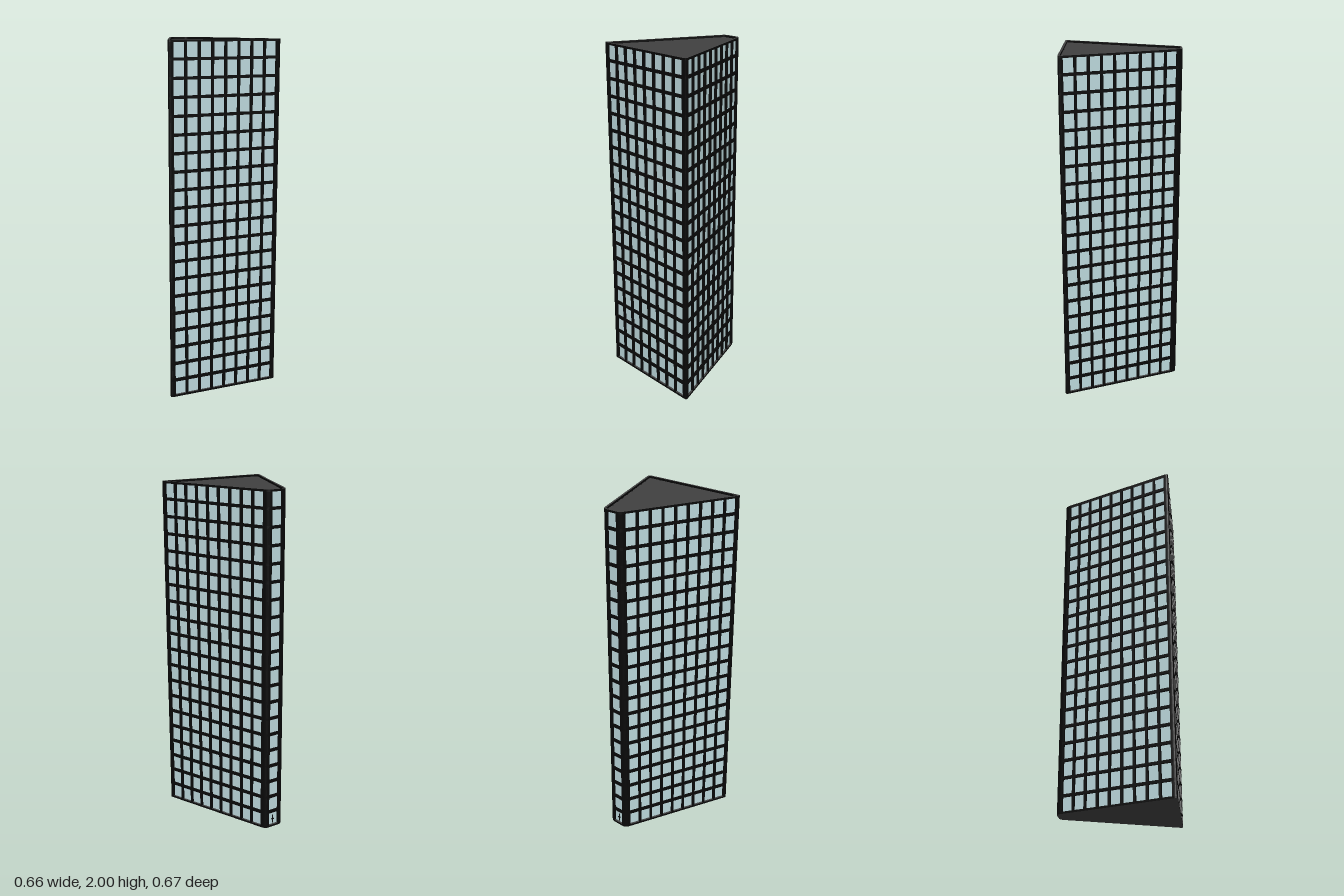
import * as THREE from 'three';

const HEIGHT = 2, FLOORS = 20, BAR = 0.016, EDGE = 0.012, RECESS = 0.012;
const V = (x, y) => new THREE.Vector2(x, y);

// Plan corners, counter-clockwise, in (x, -z)
const OUTER = [V(-0.337, -0.334), V(0.337, -0.334), V(0.058, 0.338), V(-0.058, 0.338)];
const INNER = [V(-0.319, -0.322), V(0.319, -0.322), V(0.05, 0.326), V(-0.05, 0.326)];

const toward = (a, b, d) => b.clone().sub(a).setLength(d).add(a);

// Points of the rounded corner i
function roundedCorner(pts, i, setback) {
  const p = pts[i], prev = pts[(i + 3) % 4], next = pts[(i + 1) % 4];
  return new THREE.QuadraticBezierCurve(toward(p, prev, setback), p, toward(p, next, setback)).getPoints(6);
}

function outline(pts, front, back) {
  return pts.flatMap((_, i) => roundedCorner(pts, i, i < 2 ? front : back));
}

function prism(points, y, height, hole) {
  const shape = new THREE.Shape(points);
  if (hole) shape.holes.push(new THREE.Path(hole));
  const geo = new THREE.ExtrudeGeometry(shape, { depth: height, bevelEnabled: false });
  return geo.rotateX(-Math.PI / 2).translate(0, y, 0);
}

export function createModel() {
  const group = new THREE.Group();
  const frame = new THREE.MeshStandardMaterial({ color: 0x080808 });
  const roof = new THREE.MeshStandardMaterial({ color: 0x404040 });
  const glass = new THREE.MeshStandardMaterial({ color: 0xbcd8dc });
  const add = (name, geo, material) => {
    const mesh = new THREE.Mesh(geo, material);
    mesh.name = name;
    group.add(mesh);
    return mesh;
  };

  const outer = outline(OUTER, 0.02, 0.025);
  const inner = outline(INNER, 0.006, 0.018);

  // Glass core, its top being the sunken roof
  add('glassCore', prism(inner, 0.002, HEIGHT - EDGE - 0.002), [roof, glass]);

  // Base plate, floor bands and parapet
  add('basePlate', prism(outer, 0, EDGE), [roof, frame]);
  for (let i = 1; i < FLOORS; i++) {
    add('floorBand', prism(outer, i * HEIGHT / FLOORS - BAR / 2, BAR, inner), frame);
  }
  add('parapet', prism(outer, HEIGHT - EDGE, EDGE, inner), [roof, frame]);

  // Each facade: window columns and the solid margin at its start and end
  const facades = [
    { name: 'front', columns: 8, start: 0.032, end: 0.032 },
    { name: 'left', columns: 9, start: 0.031, end: 0.035 },
    { name: 'back', columns: 1, start: 0.026, end: 0.026 },
    { name: 'right', columns: 9, start: 0.035, end: 0.031 },
  ];
  const mullionWidth = 0.014;
  facades.forEach(({ name, columns, start, end }, i) => {
    const a = OUTER[i], b = OUTER[(i + 1) % 4];
    const along = b.clone().sub(a).normalize();
    const inward = V(-along.y, along.x);
    const length = a.distanceTo(b);
    const pitch = (length - start - end + mullionWidth) / columns;
    const at = (d, depth) => a.clone().addScaledVector(along, d).addScaledVector(inward, depth);

    // Mullions between the window columns
    for (let c = 1; c < columns; c++) {
      const d = start + c * pitch - mullionWidth;
      const e = d + mullionWidth, deep = RECESS + 0.004;
      add(name + 'Mullion', prism([at(d, 0), at(e, 0), at(e, deep), at(d, deep)], 0.004, HEIGHT - 0.016), frame);
    }

    // Rounded corner post at the start of this facade
    const prev = OUTER[(i + 3) % 4], before = facades[(i + 3) % 4].end;
    const back = a.clone().sub(prev).normalize();
    const prevIn = V(-back.y, back.x);
    const prevEdge = toward(a, prev, before);
    const post = [
      prevEdge,
      ...roundedCorner(OUTER, i, i < 2 ? 0.02 : 0.025),
      at(start, 0),
      at(start, RECESS),
      INNER[i],
      prevEdge.clone().addScaledVector(prevIn, RECESS),
    ];
    add('cornerPost', prism(post, 0.004, HEIGHT - 0.016), frame);
  });

  // Small door split and handle on the narrow back facade
  const split = add('doorSplit', new THREE.BoxGeometry(0.005, 0.05, 0.006), frame);
  split.position.set(0, 0.045, -0.327);
  const handle = add('doorHandle', new THREE.BoxGeometry(0.016, 0.006, 0.006), frame);
  handle.position.set(0, 0.045, -0.328);

  return group;
}
